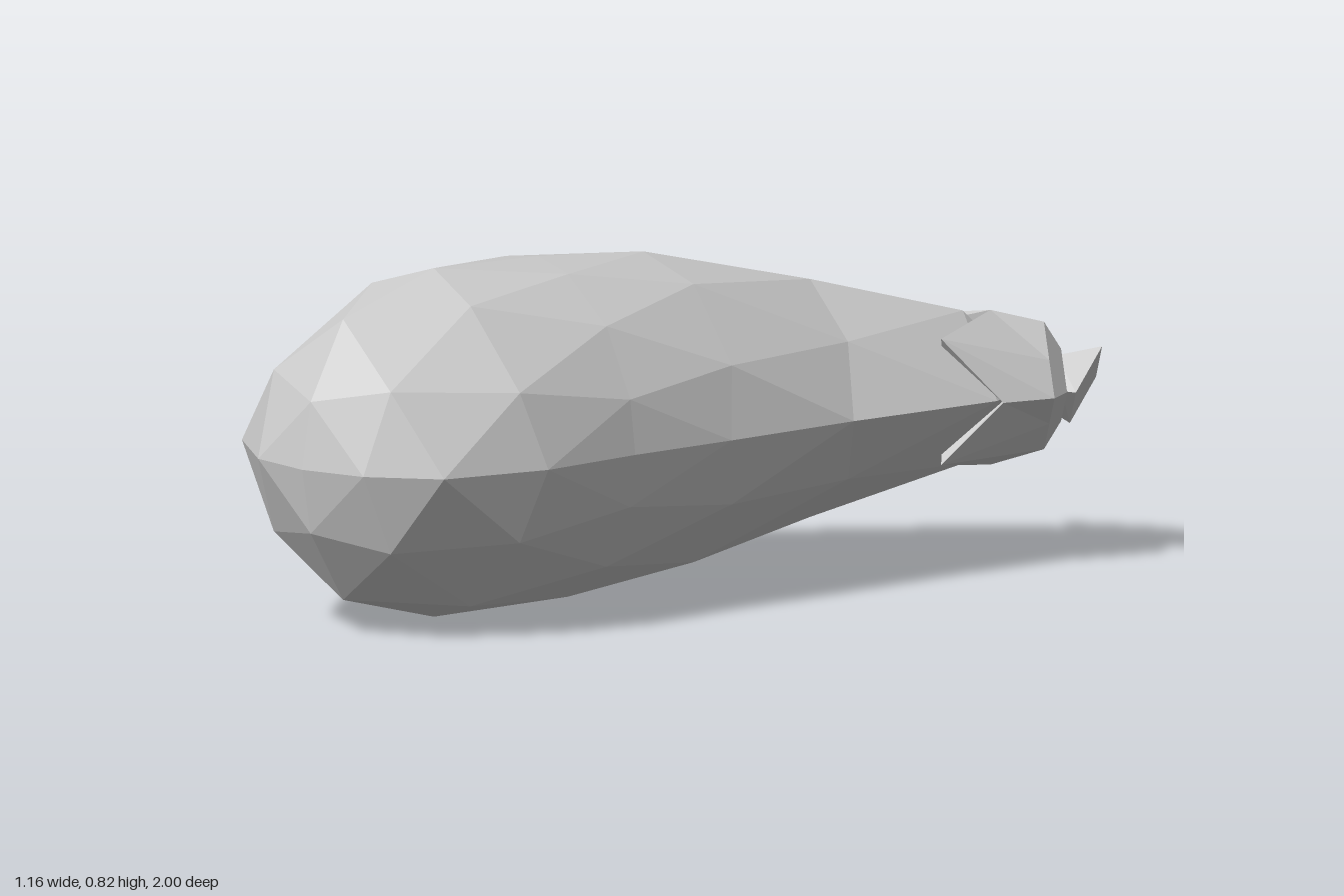
import * as THREE from 'three';

const MID = 0.41; // height of the spine

// Body stations from blossom end to stem: right edge x,z / left edge x,z / half height
const STATIONS = [
  [-0.2, 1.0, -0.2, 1.0, 0],
  [-0.36, 0.97, -0.04, 0.97, 0.155],
  [-0.53, 0.83, 0.12, 0.87, 0.33],
  [-0.58, 0.5, 0.23, 0.63, 0.41],
  [-0.5, 0.17, 0.27, 0.37, 0.4],
  [-0.39, -0.11, 0.33, 0.1, 0.38],
  [-0.1, -0.52, 0.4, -0.25, 0.28],
  [0.17, -0.78, 0.5, -0.64, 0.18],
  [0.45, -0.83, 0.45, -0.83, 0],
];

const material = (extra = {}) =>
  new THREE.MeshStandardMaterial({ color: 0xcccccc, flatShading: true, ...extra });

// Faceted sphere whose rings are moved onto the curved, tapering stations
function bodyGeometry() {
  const geo = new THREE.OctahedronGeometry(1, 3);
  const pos = geo.attributes.position;
  const v = new THREE.Vector3();
  for (let i = 0; i < pos.count; i++) {
    v.fromBufferAttribute(pos, i);
    const sum = Math.abs(v.x) + Math.abs(v.y) + Math.abs(v.z);
    const k = Math.round(4 * (1 - v.z / sum));
    const [lx, lz, rx, rz, h] = STATIONS[k];
    const cx = (lx + rx) / 2, cz = (lz + rz) / 2;
    const hx = (rx - lx) / 2, hz = (rz - lz) / 2;
    // lateral and axial position relative to the ring's axis vertices
    const m = 4 - Math.abs(4 - k), len = Math.hypot(m, 4 - m);
    const s = m ? len / m : 0;
    const bulge = m ? v.z - (Math.sign(4 - k) * (4 - m)) / len : 0;
    pos.setXYZ(i,
      cx + hx * v.x * s - hz * bulge,
      MID + h * v.y * s,
      cz + hz * v.x * s + hx * bulge);
  }
  geo.deleteAttribute('uv');
  geo.computeVertexNormals();
  return geo;
}

// Closed rings of equal point count joined by triangles
function loft(rings) {
  const out = [];
  const n = rings[0].length;
  for (let i = 0; i < rings.length - 1; i++) {
    for (let j = 0; j < n; j++) {
      const k = (j + 1) % n;
      const a = rings[i][j], b = rings[i][k], c = rings[i + 1][k], d = rings[i + 1][j];
      for (const p of [a, b, c, a, c, d]) out.push(p.x, p.y, p.z);
    }
  }
  const geo = new THREE.BufferGeometry();
  geo.setAttribute('position', new THREE.Float32BufferAttribute(out, 3));
  geo.computeVertexNormals();
  return geo;
}

// Frame of the stem end
const CENTER = new THREE.Vector3(0.465, MID, -0.845);
const SIDE = new THREE.Vector3(0.77, 0, 0.64).normalize();
const AXIS = new THREE.Vector3(0.64, 0, -0.77).normalize();

function framePoint(radius, along, t) {
  return CENTER.clone()
    .addScaledVector(AXIS, along)
    .addScaledVector(SIDE, radius * Math.cos(t))
    .add(new THREE.Vector3(0, radius * Math.sin(t), 0));
}

// Eight points: even ones on the corners, odd ones on the diagonals
const ring8 = (rCorner, aCorner, rDiag, aDiag) =>
  Array.from({ length: 8 }, (_, j) =>
    framePoint(j % 2 ? rDiag : rCorner, j % 2 ? aDiag : aCorner, (j * Math.PI) / 4));

const diamond = (r, a) => ring8(r, a, r * Math.SQRT1_2, a);

export function createModel() {
  const model = new THREE.Group();

  const body = new THREE.Mesh(bodyGeometry(), material());
  body.name = 'body';
  model.add(body);

  // Square cap with a zigzag hem of four pointed leaves, turned inward for thickness
  const cap = new THREE.Mesh(loft([
    diamond(0, 0.045),
    diamond(0.085, 0.04),
    diamond(0.15, 0),
    ring8(0.182, -0.125, 0.21, -0.265),
    ring8(0.155, -0.12, 0.18, -0.26),
    diamond(0.12, -0.02),
  ]), material({ side: THREE.DoubleSide }));
  cap.name = 'leafCap';
  model.add(cap);

  // Short square stem cut off at a slant
  const end = [
    new THREE.Vector3(0.575, 0.41, -0.83),
    new THREE.Vector3(0.56, 0.5, -0.94),
    new THREE.Vector3(0.49, 0.41, -1.0),
    new THREE.Vector3(0.505, 0.32, -0.89),
  ];
  const middle = end.reduce((s, p) => s.addScaledVector(p, 0.25), new THREE.Vector3());
  const base = [0, 1, 2, 3].map((j) => framePoint(0.07, 0.03, (j * Math.PI) / 2));
  const stem = new THREE.Mesh(loft([end.map(() => middle), end, base]), material());
  stem.name = 'stem';
  model.add(stem);

  return model;
}
